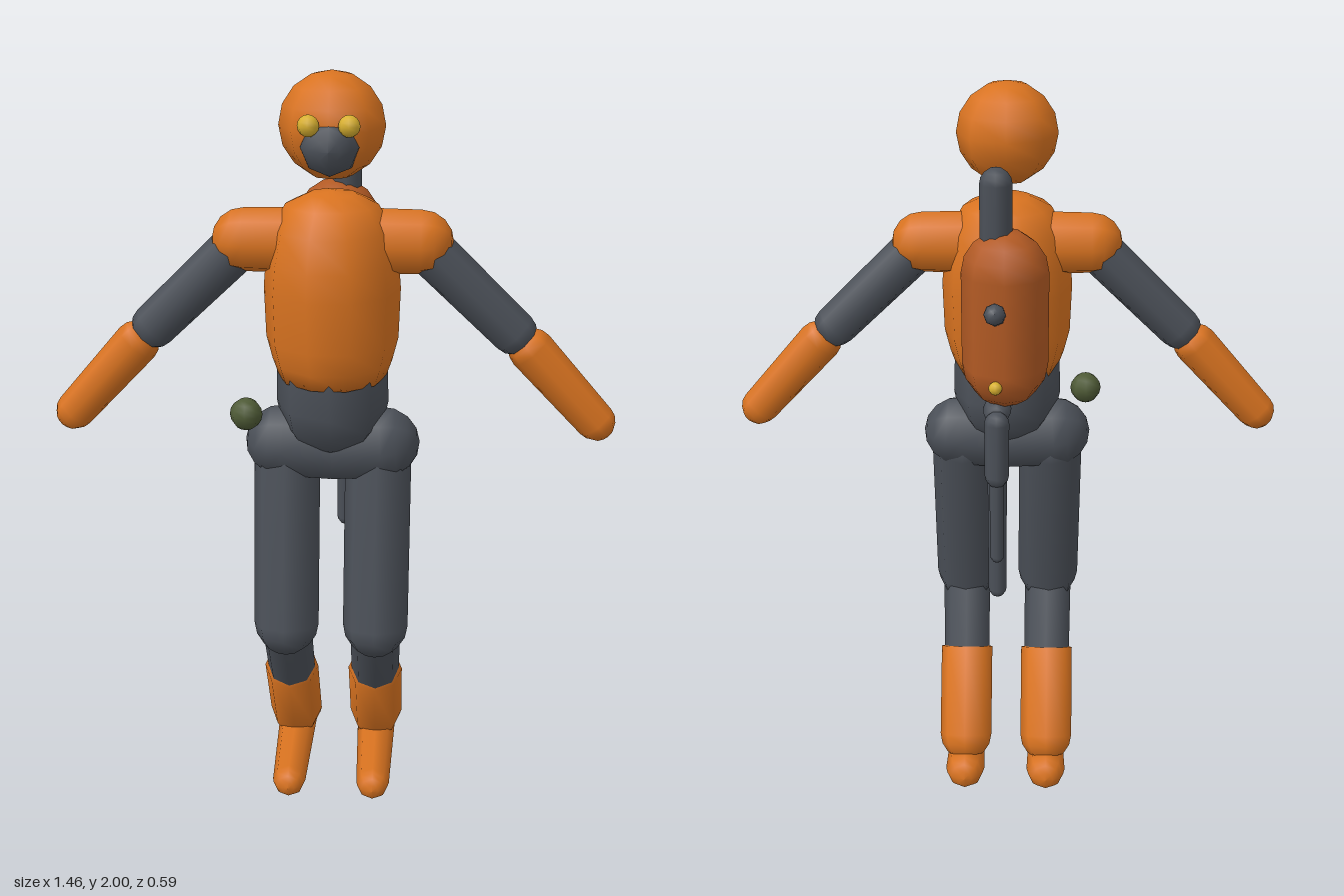
import * as THREE from 'three';

const mat = (name, color) => {
  const m = new THREE.MeshStandardMaterial({ color });
  m.name = name;
  return m;
};

export function createModel() {
  const orange = mat('orange suit', 0xd97320);
  const rust = mat('rust tank', 0xb25a24);
  const grey = mat('dark grey', 0x4b5058);
  const yellow = mat('yellow lens', 0xd8b030);
  const green = mat('olive green', 0x4e5a36);

  const model = new THREE.Group();
  const add = (name, geo, material, parent = model) => {
    const mesh = new THREE.Mesh(geo, material);
    mesh.name = name;
    parent.add(mesh);
    return mesh;
  };

  // Round-ended limb from a to b, radius ra at a and rb at b
  const limb = (name, a, b, ra, rb, material, parent = model, sides = 8) => {
    const start = new THREE.Vector3(...a), end = new THREE.Vector3(...b);
    const dir = end.clone().sub(start), length = dir.length(), steps = 4;
    const profile = [];
    for (let i = 0; i <= steps; i++) {
      const t = (i / steps) * Math.PI / 2;
      profile.push(new THREE.Vector2(ra * Math.sin(t), -ra * Math.cos(t)));
    }
    for (let i = 0; i <= steps; i++) {
      const t = (i / steps) * Math.PI / 2;
      profile.push(new THREE.Vector2(rb * Math.cos(t), length + rb * Math.sin(t)));
    }
    const mesh = add(name, new THREE.LatheGeometry(profile, sides), material, parent);
    mesh.position.copy(start);
    mesh.quaternion.setFromUnitVectors(new THREE.Vector3(0, 1, 0), dir.normalize());
    return mesh;
  };

  const ball = (name, x, y, z, r, material, parent = model, w = 8, h = 8) => {
    const mesh = add(name, new THREE.SphereGeometry(r, w, h), material, parent);
    mesh.position.set(x, y, z);
    return mesh;
  };

  // Head with breathing mask and lenses
  const head = new THREE.Group();
  head.name = 'head';
  model.add(head);
  ball('skull', 0, 1.87, 0.128, 0.13, orange, head);
  limb('mask', [0, 1.838, 0.16], [0, 1.835, 0.203], 0.07, 0.074, grey, head);
  for (const s of [-1, 1]) ball('lens', s * 0.048, 1.888, 0.254, 0.026, yellow, head);

  // Torso, flat underneath
  const torsoProfile = [
    [0, 1.237], [0.138, 1.237], [0.153, 1.28], [0.168, 1.34], [0.172, 1.47],
    [0.166, 1.54], [0.148, 1.62], [0.115, 1.68], [0.06, 1.706], [0, 1.714],
  ].map(([r, y]) => new THREE.Vector2(r, y));
  const torso = add('torso', new THREE.LatheGeometry(torsoProfile, 10), orange);
  torso.rotation.y = Math.PI / 2;
  torso.position.z = 0.13;

  // Waist sunk between torso and hips
  limb('waist', [0, 1.165, 0.12], [0, 1.26, 0.125], 0.145, 0.142, grey);

  // Mirrored limbs
  for (const s of [-1, 1]) {
    const side = s > 0 ? 'left' : 'right';
    const arm = new THREE.Group(), leg = new THREE.Group();
    arm.name = side + 'Arm';
    leg.name = side + 'Leg';
    model.add(arm, leg);

    limb('shoulder', [s * 0.08, 1.585, 0.12], [s * 0.22, 1.585, 0.12], 0.084, 0.081, orange, arm);
    limb('upperArm', [s * 0.22, 1.585, 0.12], [s * 0.46, 1.353, 0.114], 0.062, 0.058, grey, arm);
    limb('forearm', [s * 0.505, 1.309, 0.114], [s * 0.68, 1.117, 0.111], 0.058, 0.051, orange, arm);

    limb('hip', [0, 1.04, 0.115], [s * 0.128, 1.047, 0.115], 0.1, 0.1, grey, leg);
    limb('thigh', [s * 0.12, 1.0, 0.115], [s * 0.12, 0.55, 0.2], 0.087, 0.087, grey, leg);
    limb('shin', [s * 0.12, 0.545, 0.2], [s * 0.118, 0.33, 0.078], 0.068, 0.066, grey, leg);

    // Boot shaft with a flat open top ring, capped
    const top = new THREE.Vector3(s * 0.118, 0.352, 0.09);
    const ankle = new THREE.Vector3(s * 0.118, 0.13, -0.042);
    const axis = top.clone().sub(ankle), length = axis.length(), r = 0.075;
    const shaft = [];
    for (let i = 0; i <= 4; i++) {
      const t = (i / 4) * Math.PI / 2;
      shaft.push(new THREE.Vector2(r * Math.sin(t), -r * Math.cos(t)));
    }
    shaft.push(new THREE.Vector2(r, length), new THREE.Vector2(0, length + 0.005));
    const boot = add('bootShaft', new THREE.LatheGeometry(shaft, 8), orange, leg);
    boot.position.copy(ankle);
    boot.quaternion.setFromUnitVectors(new THREE.Vector3(0, 1, 0), axis.normalize());
    limb('foot', [s * 0.118, 0.056, -0.108], [s * 0.118, 0.05, 0.208], 0.056, 0.046, orange, leg);
  }

  // Back tank with fittings and hanging hoses
  const pack = new THREE.Group();
  pack.name = 'backTank';
  model.add(pack);
  limb('tank', [0, 1.345, -0.126], [0, 1.585, -0.126], 0.109, 0.109, rust, pack);
  limb('chimney', [0.022, 1.6, -0.126], [0.022, 1.806, -0.126], 0.04, 0.04, grey, pack);
  limb('valveKnob', [0.022, 1.5, -0.2], [0.022, 1.527, -0.268], 0.027, 0.027, grey, pack);
  ball('indicator', 0.022, 1.32, -0.23, 0.017, yellow, pack);
  limb('hoseJoint', [0.02, 1.225, -0.13], [0.02, 1.222, -0.15], 0.036, 0.036, grey, pack);
  limb('longHose', [0.02, 1.22, -0.143], [0.02, 0.705, -0.16], 0.026, 0.024, grey, pack);
  limb('shortHose', [0.02, 1.205, -0.187], [0.02, 1.06, -0.193], 0.032, 0.031, grey, pack);
  limb('hoseTip', [0.02, 1.06, -0.193], [0.02, 0.825, -0.196], 0.019, 0.018, grey, pack);

  // Small round pouch at the right hip
  ball('hipPouch', -0.217, 1.147, 0.19, 0.042, green);

  return model;
}
